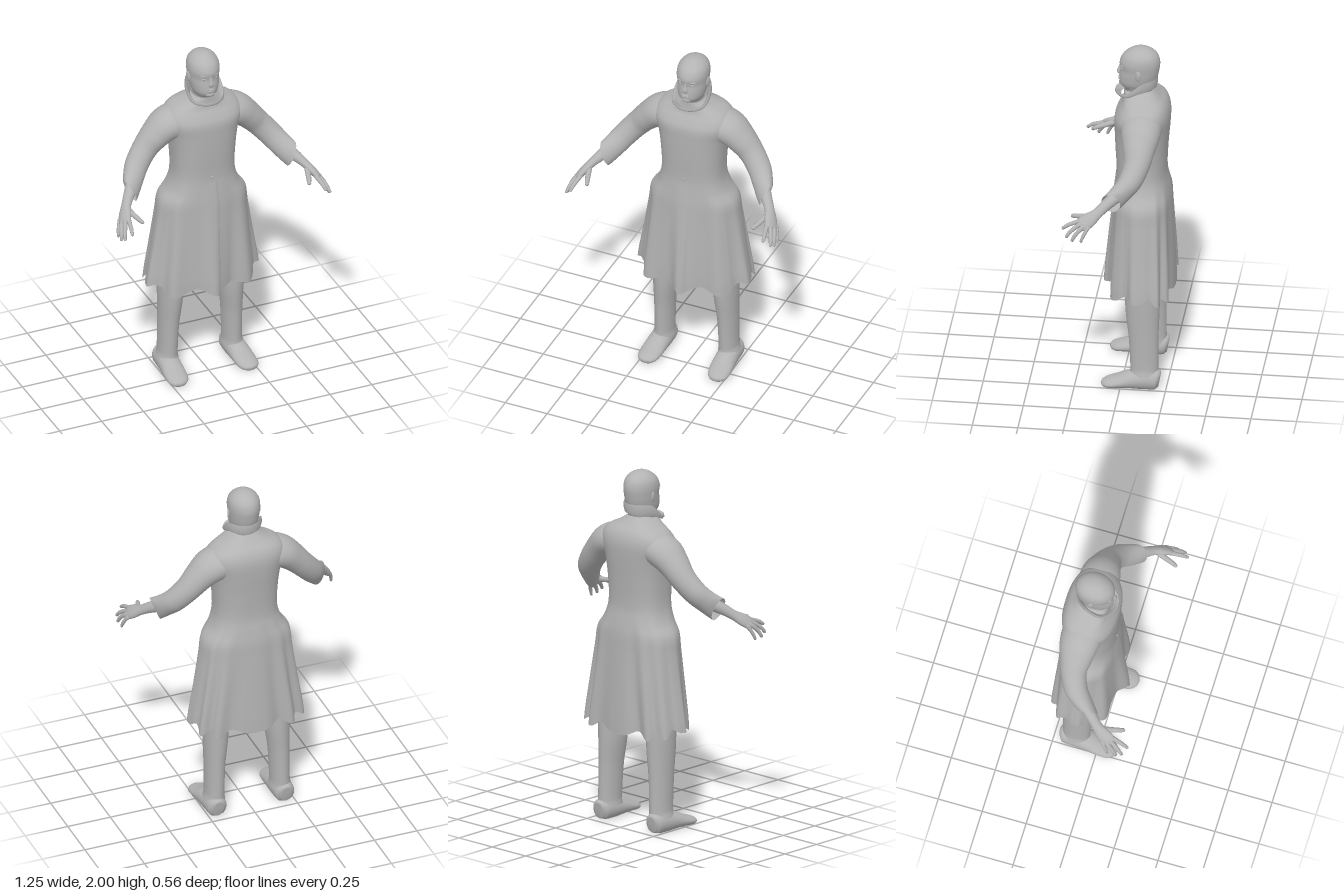
import * as THREE from 'three';

const V = (x, y, z) => new THREE.Vector3(x, y, z);
const TAU = Math.PI * 2;
const { lerp, clamp, smoothstep } = THREE.MathUtils;

// Skin a list of rings (equal point counts); optionally close the ends with fans
function skin(rings, { cap = false, open = false } = {}) {
  const n = rings[0].length, pos = [], idx = [];
  rings.forEach(r => r.forEach(p => pos.push(p.x, p.y, p.z)));
  for (let i = 0; i < rings.length - 1; i++) {
    for (let j = 0; j < (open ? n - 1 : n); j++) {
      const k = (j + 1) % n, a = i * n + j, b = i * n + k, c = b + n, d = a + n;
      idx.push(a, b, c, a, c, d);
    }
  }
  if (cap) {
    [0, rings.length - 1].forEach((r, end) => {
      const m = rings[r].reduce((s, p) => s.add(p), V(0, 0, 0)).divideScalar(n);
      const ci = pos.length / 3;
      pos.push(m.x, m.y, m.z);
      for (let j = 0; j < n; j++) {
        const a = r * n + j, b = r * n + (j + 1) % n;
        idx.push(...(end ? [ci, a, b] : [ci, b, a]));
      }
    });
  }
  const g = new THREE.BufferGeometry();
  g.setAttribute('position', new THREE.Float32BufferAttribute(pos, 3));
  g.setIndex(idx);
  g.computeVertexNormals();
  return g;
}

// Tapered limb along a smooth path; points are [x, y, z, radiusA, radiusB].
// endDir turns the last rings toward a slanted cut, floor flattens the underside.
function limb(points, { n = 20, steps = 24, ref = V(0, 0, 1), cap = true, floor = -1, endDir = null } = {}) {
  const path = new THREE.CatmullRomCurve3(points.map(p => V(p[0], p[1], p[2])), false, 'centripetal');
  const size = new THREE.CatmullRomCurve3(points.map((p, i) => V(p[3], p[4], i * 0.1)), false, 'centripetal');
  const rings = [];
  for (let i = 0; i <= steps; i++) {
    const t = i / steps, c = path.getPoint(t), r = size.getPoint(t), T = path.getTangent(t);
    if (endDir) T.lerp(endDir, t ** 5).normalize();
    const u = ref.clone().cross(T).normalize(), v = T.clone().cross(u);
    rings.push(Array.from({ length: n }, (_, j) => {
      const f = j / n * TAU;
      const p = c.clone().addScaledVector(u, r.x * Math.cos(f)).addScaledVector(v, r.y * Math.sin(f));
      p.y = Math.max(p.y, floor);
      return p;
    }));
  }
  return skin(rings, { cap });
}

// Smoothly sampled profile rows [y, halfWidth, zFront, zBack]
function sampleRows(rows, per) {
  const a = new THREE.CatmullRomCurve3(rows.map(r => V(r[0], r[1], 0)), false, 'centripetal');
  const b = new THREE.CatmullRomCurve3(rows.map(r => V(r[0], r[2], r[3])), false, 'centripetal');
  const out = [], m = (rows.length - 1) * per;
  for (let i = 0; i <= m; i++) {
    const p = a.getPoint(i / m), q = b.getPoint(i / m);
    out.push([p.x, p.y, q.y, q.z]);
  }
  return out;
}

// Rounded-box cross-section point, angle measured from the front
function around([y, w, zf, zb], f, e = 1) {
  const s = Math.sin(f), c = Math.cos(f), pw = v => Math.sign(v) * Math.abs(v) ** e;
  return V(w * pw(s), y, (zf + zb) / 2 + (zf - zb) / 2 * pw(c));
}

const coatRows = sampleRows([
  [0.555, 0.322, 0.09, -0.266], [0.62, 0.316, 0.088, -0.266], [0.8, 0.29, 0.076, -0.262],
  [1.0, 0.262, 0.062, -0.256], [1.1, 0.248, 0.056, -0.253], [1.17, 0.203, 0.05, -0.243],
  [1.25, 0.179, 0.043, -0.23], [1.4, 0.182, 0.05, -0.235], [1.52, 0.198, 0.054, -0.245],
  [1.6, 0.222, 0.052, -0.248], [1.645, 0.214, 0.032, -0.24], [1.68, 0.182, 0.012, -0.222],
  [1.71, 0.122, 0.006, -0.192], [1.75, 0.066, 0.004, -0.155]], 4);

// Coat surface: pointed at the front and square at the back of the skirt,
// with folds that deepen toward a wavy hem
function coatPoint(row, f, out = 0) {
  const k = clamp((1.22 - row[0]) / 0.66, 0, 1), front = Math.cos(f) > 0;
  const p = around(row, f, lerp(0.8, front ? 1.15 : 0.62, k));
  const wave = Math.cos((front ? 8 : 12) * f);
  const push = k * ((front ? 0.02 : 0.014) * wave + 0.004 * Math.cos(17 * f + 1)) + out;
  p.x += Math.sin(f) * push * (Math.abs(Math.sin(f)) > 0.9 ? 0.6 : 1);
  p.z += Math.cos(f) * push;
  p.y += k ** 6 * (-0.018 * wave + 0.034 * Math.sin(f) ** 8);
  return p;
}

export function createModel() {
  const root = new THREE.Group();
  root.name = 'figure';
  const grey = new THREE.MeshStandardMaterial({ color: 0xb3b3b3, side: THREE.DoubleSide });
  grey.name = 'plain grey';
  const add = (name, geo, parent = root) => {
    const m = new THREE.Mesh(geo, grey);
    m.name = name;
    parent.add(m);
    return m;
  };
  const blob = (name, at, size, parent) => {
    const m = add(name, new THREE.SphereGeometry(1, 16, 12), parent);
    m.position.set(...at);
    m.scale.set(...size);
    return m;
  };

  // Coat body, front overlap and waist button
  add('coat', skin(coatRows.map(r => Array.from({ length: 120 }, (_, j) => coatPoint(r, j / 120 * TAU)))));
  add('coatOverlap', skin(coatRows.filter(r => r[0] < 1.24).map(r =>
    [-0.07, -0.02, 0.03, 0.08, 0.12].map((f, j) => coatPoint(r, f, j === 4 ? -0.001 : 0.005))), { open: true }));
  blob('button', [0, 1.26, 0.043], [0.007, 0.007, 0.006]);

  // Standing collar: low at the front, high behind, folded outward
  const collar = [[0, 0.072, 0.084, 0], [0.5, 0.084, 0.098, 0], [1, 0.1, 0.112, 0],
    [1, 0.104, 0.116, 0.003], [0.7, 0.106, 0.117, 0.006], [0.45, 0.1, 0.112, 0.006]];
  add('collar', skin(collar.map(([h, w, d, drop]) => Array.from({ length: 48 }, (_, j) => {
    const f = j / 48 * TAU, c = Math.cos(f);
    const rise = 1 - smoothstep(c, -0.55, 0.6);
    return V(w * Math.sin(f), 1.715 + 0.015 * rise + h * (0.028 + 0.068 * rise) - drop, -0.062 + d * c);
  }))));

  // Head and neck
  const head = new THREE.Group();
  head.name = 'head';
  root.add(head);
  const headRows = sampleRows([
    [1.66, 0.064, -0.01, -0.15], [1.745, 0.058, -0.008, -0.15], [1.764, 0.06, 0.018, -0.152],
    [1.785, 0.071, 0.031, -0.163], [1.83, 0.081, 0.031, -0.18], [1.87, 0.085, 0.025, -0.188],
    [1.91, 0.088, 0.03, -0.192], [1.95, 0.081, 0.013, -0.182], [1.98, 0.058, -0.02, -0.154],
    [1.995, 0.031, -0.05, -0.118], [2.0, 0.003, -0.08, -0.086]], 4);
  add('skull', skin(headRows.map(r => Array.from({ length: 40 }, (_, j) => around(r, j / 40 * TAU))), { cap: true }), head);
  add('nose', limb([[0, 1.895, 0.02, 0.007, 0.008], [0, 1.865, 0.028, 0.009, 0.01],
    [0, 1.845, 0.034, 0.015, 0.011], [0, 1.834, 0.027, 0.012, 0.008]], { n: 14, steps: 12 }), head);
  blob('upperLip', [0, 1.814, 0.03], [0.022, 0.005, 0.007], head);
  blob('lowerLip', [0, 1.804, 0.029], [0.02, 0.006, 0.007], head);
  blob('chin', [0, 1.779, 0.018], [0.028, 0.015, 0.016], head);

  for (const s of [1, -1]) {
    const side = s > 0 ? 'left' : 'right';
    const flip = pts => pts.map(([x, ...rest]) => [s * x, ...rest]);

    // Face details
    blob(side + 'Eye', [s * 0.034, 1.879, 0.014], [0.013, 0.005, 0.007], head).rotation.y = s * 0.3;
    blob(side + 'Brow', [s * 0.034, 1.896, 0.015], [0.022, 0.006, 0.008], head).rotation.y = s * 0.35;
    const ear = blob(side + 'Ear', [s * 0.087, 1.862, -0.08], [0.007, 0.031, 0.018], head);
    ear.rotation.y = -s * 0.3;

    // Sleeve running out of the shoulder to an open, slanted cuff
    add(side + 'Sleeve', limb(flip([
      [0.06, 1.59, -0.105, 0.07, 0.09], [0.15, 1.587, -0.107, 0.09, 0.11],
      [0.21, 1.568, -0.109, 0.09, 0.108], [0.27, 1.52, -0.108, 0.079, 0.092],
      [0.335, 1.45, -0.103, 0.07, 0.073], [0.4, 1.374, -0.071, 0.067, 0.064],
      [0.44, 1.325, -0.028, 0.067, 0.056], [0.48, 1.28, 0.022, 0.071, 0.053]]),
      { n: 32, steps: 40, cap: false, endDir: V(s * 0.92, -0.38, 0.13) }));

    // Hand: forearm and palm, thumb and four fingers
    const hand = new THREE.Group();
    hand.name = side + 'Hand';
    root.add(hand);
    add('palm', limb(flip([
      [0.435, 1.325, -0.03, 0.036, 0.036], [0.49, 1.282, 0.04, 0.032, 0.032],
      [0.532, 1.243, 0.09, 0.024, 0.03], [0.557, 1.215, 0.13, 0.023, 0.041],
      [0.576, 1.193, 0.165, 0.018, 0.042], [0.584, 1.184, 0.18, 0.01, 0.031]])), hand);
    const fingers = {
      thumb: [[0.538, 1.232, 0.105], [0.521, 1.216, 0.16], [0.509, 1.208, 0.198], [0.498, 1.201, 0.228]],
      index: [[0.556, 1.212, 0.165], [0.563, 1.198, 0.205], [0.571, 1.183, 0.245], [0.576, 1.165, 0.272]],
      middle: [[0.572, 1.2, 0.165], [0.587, 1.182, 0.2], [0.602, 1.158, 0.23], [0.61, 1.132, 0.25]],
      ring: [[0.584, 1.19, 0.152], [0.601, 1.166, 0.182], [0.611, 1.139, 0.205], [0.617, 1.114, 0.218]],
      little: [[0.588, 1.187, 0.132], [0.603, 1.157, 0.149], [0.611, 1.131, 0.162], [0.615, 1.109, 0.17]]
    };
    for (const [name, pts] of Object.entries(fingers)) {
      const r = name === 'thumb' ? 0.015 : name === 'little' ? 0.0105 : 0.0122;
      const taper = [1.15, 1, 0.92, 0.72];
      add(name, limb(flip(pts.map((p, i) => [...p, r * taper[i], r * taper[i]])), { n: 10, steps: 10 }), hand);
      const tip = pts[3];
      blob(name + 'Tip', [s * tip[0], tip[1], tip[2]], [r * 0.73, r * 0.73, r * 0.73], hand);
    }

    // Trouser leg, flaring slightly over the shoe
    add(side + 'TrouserLeg', limb(flip([
      [0.194, 0.075, -0.128, 0.06, 0.08], [0.192, 0.115, -0.128, 0.053, 0.077],
      [0.188, 0.3, -0.123, 0.056, 0.082], [0.181, 0.45, -0.117, 0.066, 0.093],
      [0.178, 0.58, -0.115, 0.071, 0.098], [0.13, 1.05, -0.105, 0.085, 0.11]]),
      { n: 28, steps: 30, cap: false }));

    // Shoe with a flat sole
    add(side + 'Shoe', limb(flip([
      [0.199, 0.045, -0.212, 0.03, 0.045], [0.199, 0.048, -0.195, 0.054, 0.06],
      [0.199, 0.048, -0.12, 0.06, 0.062], [0.202, 0.042, -0.05, 0.062, 0.05],
      [0.206, 0.03, 0.015, 0.063, 0.034], [0.21, 0.02, 0.07, 0.056, 0.026],
      [0.21, 0.015, 0.098, 0.034, 0.017], [0.21, 0.013, 0.106, 0.01, 0.008]]),
      { n: 28, steps: 32, ref: V(0, 1, 0), floor: 0 }));
  }
  return root;
}
